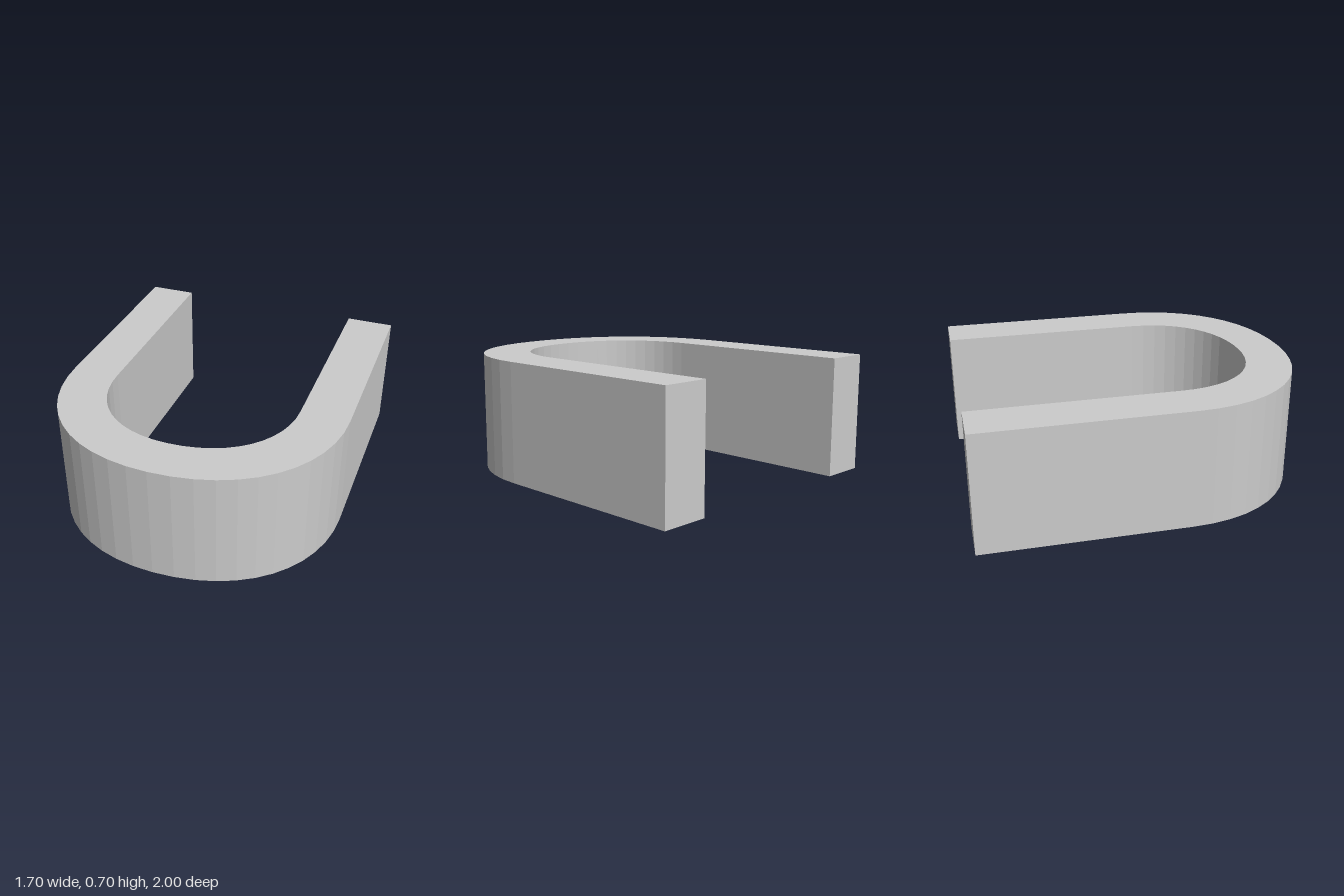
import * as THREE from 'three';

const HEIGHT = 0.705, BACK = -1, BEND = 0.2, APEX_X = -0.02, FULLNESS = 0.6;

// Quarter bend of the U, drawn from the leg to the apex or back; shape y is -z.
function bend(shape, legX, apexZ, toApex) {
  const legCtrl = [legX, -(BEND + (apexZ - BEND) * FULLNESS)];
  const apexCtrl = [APEX_X + (legX - APEX_X) * FULLNESS, -apexZ];
  if (toApex) shape.bezierCurveTo(...legCtrl, ...apexCtrl, APEX_X, -apexZ);
  else shape.bezierCurveTo(...apexCtrl, ...legCtrl, legX, -BEND);
}

export function createModel() {
  const group = new THREE.Group();
  group.name = 'uChannel';

  // U-shaped plan: outer contour, then inner contour back to the start
  const plan = new THREE.Shape();
  plan.moveTo(-0.85, -BACK);
  plan.lineTo(-0.85, -BEND);
  bend(plan, -0.85, 1, true);
  bend(plan, 0.85, 1, false);
  plan.lineTo(0.85, -BACK);
  plan.lineTo(0.565, -BACK);
  plan.lineTo(0.565, -BEND);
  bend(plan, 0.565, 0.735, true);
  bend(plan, -0.57, 0.735, false);
  plan.lineTo(-0.57, -BACK);
  plan.closePath();

  // Raise the plan into an upright wall
  const geometry = new THREE.ExtrudeGeometry(plan, { depth: HEIGHT, bevelEnabled: false, curveSegments: 12 });
  geometry.rotateX(-Math.PI / 2);
  const wall = new THREE.Mesh(geometry, new THREE.MeshStandardMaterial({ color: 0xcccccc }));
  wall.name = 'curvedWall';
  group.add(wall);
  return group;
}
